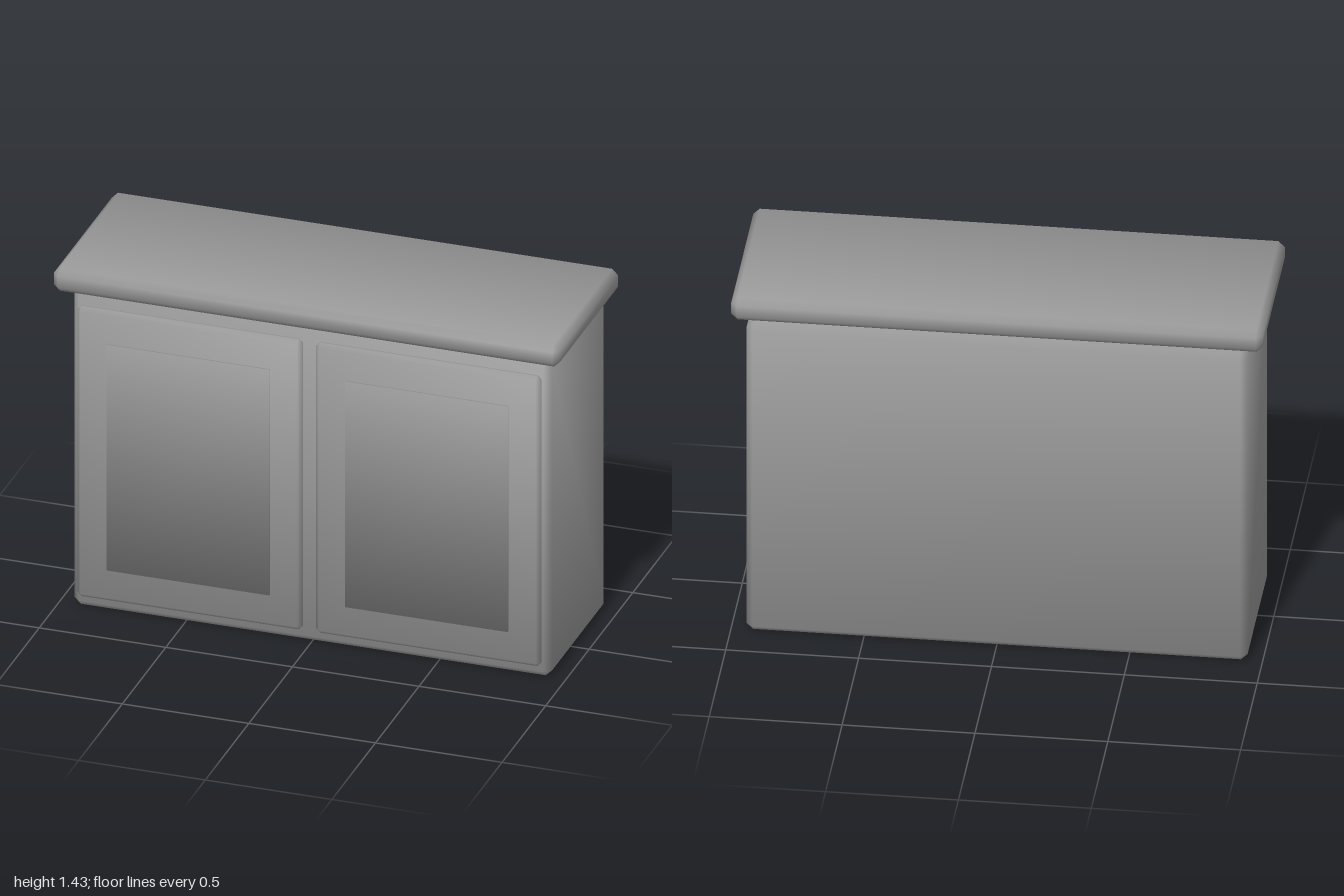
import * as THREE from 'three';
import { ConvexGeometry } from 'three/addons/geometries/ConvexGeometry.js';

const grey = new THREE.MeshStandardMaterial({ color: 0x999999 });
grey.name = 'grey paint';

// Box with chamfered edges and softly blended normals; min and max are corners
function chamferBox(name, min, max, bevel) {
  const half = max.map((v, i) => (v - min[i]) / 2);
  const points = [];
  for (let axis = 0; axis < 3; axis++)
    for (const sx of [-1, 1]) for (const sy of [-1, 1]) for (const sz of [-1, 1]) {
      const p = [sx, sy, sz].map((s, i) => s * (half[i] - (i === axis ? 0 : bevel)));
      points.push(new THREE.Vector3(...p));
    }
  const geometry = new ConvexGeometry(points);
  const pos = geometry.attributes.position;
  const normal = geometry.attributes.normal;
  for (let i = 0; i < pos.count; i++) {
    const n = [pos.getX(i), pos.getY(i), pos.getZ(i)].map((v, k) =>
      Math.sign(v) * (Math.abs(v) > half[k] - bevel / 2 ? 0.876 : 0.341));
    normal.setXYZ(i, ...n);
  }
  return place(name, geometry, min, max);
}

// Thin raised panel whose normals fan out towards the corners
function raisedPanel(name, min, max) {
  const geometry = new THREE.BoxGeometry(...max.map((v, i) => v - min[i]));
  const pos = geometry.attributes.position;
  const k = Math.sqrt(1 / 3);
  for (let i = 0; i < pos.count; i++)
    geometry.attributes.normal.setXYZ(i, Math.sign(pos.getX(i)) * k,
      Math.sign(pos.getY(i)) * k, Math.sign(pos.getZ(i)) * k);
  return place(name, geometry, min, max);
}

function place(name, geometry, min, max) {
  const mesh = new THREE.Mesh(geometry, grey);
  mesh.name = name;
  mesh.position.set(...max.map((v, i) => (v + min[i]) / 2));
  return mesh;
}

export function createModel() {
  const cabinet = new THREE.Group();
  cabinet.name = 'cabinet';

  // Carcass and overhanging worktop, with a narrow gap between them
  cabinet.add(chamferBox('body', [-0.943, 0, -0.357], [0.943, 1.325, 0.284], 0.025));
  cabinet.add(chamferBox('worktop', [-1, 1.333, -0.357], [1, 1.427, 0.357], 0.024));

  // Two doors, each with a slightly raised centre panel
  for (const [side, x] of [['right', -0.471], ['left', 0.471]]) {
    const door = new THREE.Group();
    door.name = side + 'Door';
    door.add(chamferBox(side + 'DoorFrame',
      [x - 0.444, 0.058, 0.283], [x + 0.444, 1.268, 0.322], 0.016));
    door.add(raisedPanel(side + 'DoorPanel',
      [x - 0.321, 0.193, 0.312], [x + 0.321, 1.134, 0.33]));
    cabinet.add(door);
  }
  return cabinet;
}
